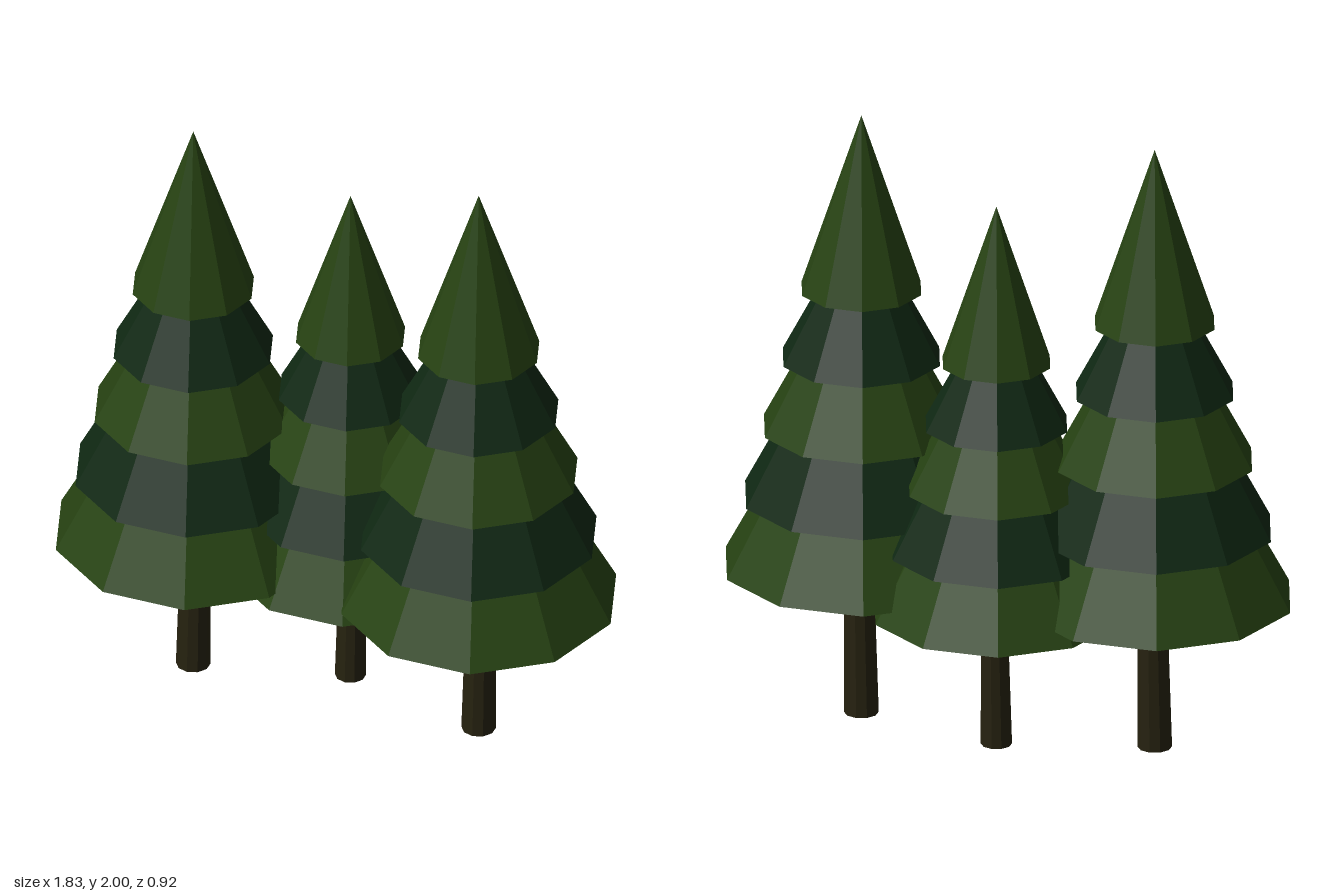
import * as THREE from 'three';

const makeMaterial = (name, color) => {
  const m = new THREE.MeshStandardMaterial({ color, flatShading: true });
  m.name = name;
  return m;
};

// Foliage tiers from bottom to top: base height and rim radius of a full-size tree
const TIERS = [
  [0.5, 0.44], [0.73, 0.377], [0.96, 0.316], [1.19, 0.255], [1.42, 0.194],
];
const TOP = 2;
const SIDES = 10;
const INSET = 0.06; // how far each rim overhangs the tier below

function createTree(name, scale, mats) {
  const tree = new THREE.Group();
  tree.name = name;

  // Trunk: tapered post whose top leans slightly to one side
  const trunkHeight = 0.54;
  const trunkGeo = new THREE.CylinderGeometry(0.045, 0.054, trunkHeight, SIDES);
  trunkGeo.translate(0, trunkHeight / 2, 0);
  const pos = trunkGeo.attributes.position;
  for (let i = 0; i < pos.count; i++) {
    pos.setX(i, pos.getX(i) + 0.016 * pos.getY(i));
  }
  trunkGeo.computeVertexNormals();
  const trunk = new THREE.Mesh(trunkGeo, mats.bark);
  trunk.name = 'trunk';
  tree.add(trunk);

  // Foliage: stacked ten-sided skirts in alternating greens, ending in a point
  TIERS.forEach(([y, radius], i) => {
    const next = TIERS[i + 1];
    const height = (next ? next[0] : TOP) - y;
    const topRadius = next ? next[1] - INSET : 0;
    const geo = next
      ? new THREE.CylinderGeometry(topRadius, radius, height, SIDES)
      : new THREE.ConeGeometry(radius, height, SIDES);
    geo.rotateY(Math.PI / SIDES);
    geo.translate(0, y + height / 2, 0);
    const tier = new THREE.Mesh(geo, i % 2 ? mats.darkGreen : mats.lightGreen);
    tier.name = `foliageTier${i + 1}`;
    tree.add(tier);
  });

  tree.scale.setScalar(scale);
  return tree;
}

export function createModel() {
  const mats = {
    lightGreen: makeMaterial('light needle green', 0x264212),
    darkGreen: makeMaterial('dark needle green', 0x0f2813),
    bark: makeMaterial('bark brown', 0x262210),
  };
  const model = new THREE.Group();
  model.name = 'pineTrees';

  // Two tall trees at the sides, a smaller one set back between them
  [
    ['leftTree', 0.476, 0.04, 1],
    ['middleTree', 0, -0.082, 0.9],
    ['rightTree', -0.476, 0.04, 1],
  ].forEach(([name, x, z, scale]) => {
    const tree = createTree(name, scale, mats);
    tree.position.set(x, 0, z);
    model.add(tree);
  });
  return model;
}
